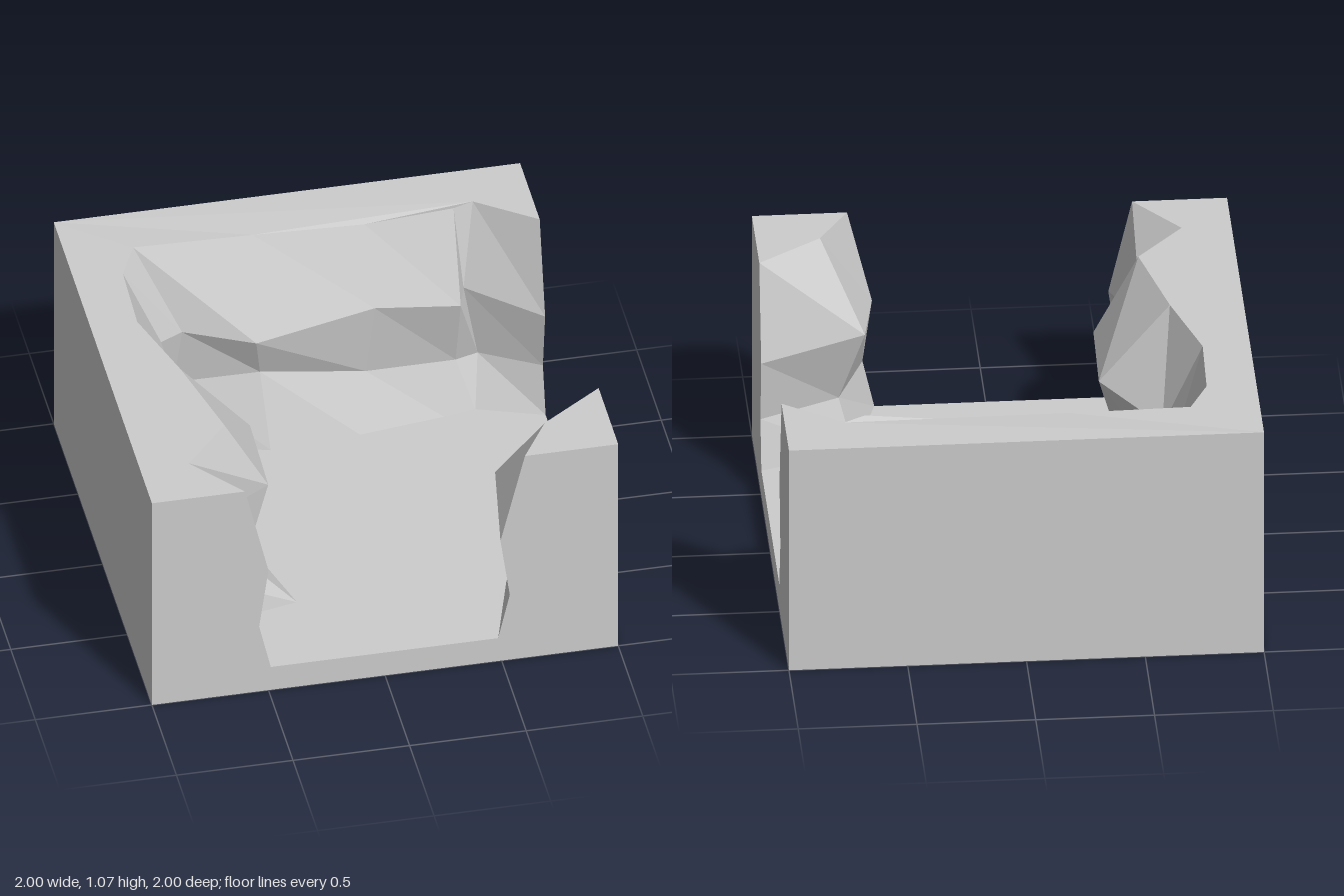
import * as THREE from 'three';

const H = 1.06, FLOOR = 0.12;
const rock = new THREE.MeshStandardMaterial({ color: 0xcccccc, flatShading: true, side: THREE.DoubleSide });
rock.name = 'grey stone';

const V = (x, y, z) => new THREE.Vector3(x, y, z);

function meshFrom(name, triangles) {
  const g = new THREE.BufferGeometry().setFromPoints(triangles);
  g.computeVertexNormals();
  const m = new THREE.Mesh(g, rock);
  m.name = name;
  return m;
}

// Fill an outline, turning every triangle towards the outward direction
function face(name, outline, outward) {
  const flat = outline.map(p =>
    outward.x ? new THREE.Vector2(p.z, p.y) :
    outward.y ? new THREE.Vector2(p.x, p.z) : new THREE.Vector2(p.x, p.y));
  const tris = [];
  for (const [a, b, c] of THREE.ShapeUtils.triangulateShape(flat, [])) {
    const A = outline[a], B = outline[b], C = outline[c];
    const n = B.clone().sub(A).cross(C.clone().sub(A));
    tris.push(...(n.dot(outward) > 0 ? [A, B, C] : [A, C, B]));
  }
  return meshFrom(name, tris);
}

// Rock surface between neighbouring columns of rim, ledge, hollow and foot
function rockWall(name, cols) {
  const tris = [];
  for (let i = 0; i + 1 < cols.length; i++) {
    for (let k = 0; k < 3; k++) {
      const a = cols[i][k], b = cols[i][k + 1], c = cols[i + 1][k + 1], d = cols[i + 1][k];
      tris.push(a, b, c, a, c, d);
    }
  }
  return meshFrom(name, tris);
}

// One column: rim x,z,y; ledge x,z,y; hollow x,z,y; foot x,z
const column = ([t, l, h, f]) => [
  V(t[0], t[2] ?? H, t[1]), V(l[0], l[2], l[1]), V(h[0], h[2], h[1]), V(f[0], FLOOR, f[1])];

// Left wall from the front opening, round the corner, along the back
const wall = [
  [[-0.6, 1], [-0.5, 1, 0.63], [-0.54, 1, 0.34], [-0.49, 1]],
  [[-0.79, 0.76], [-0.61, 0.64, 0.7], [-0.72, 0.62, 0.34], [-0.62, 0.65]],
  [[-0.59, 0.53], [-0.4, 0.52, 0.71], [-0.505, 0.54, 0.34], [-0.29, 0.58]],
  [[-0.69, 0.11], [-0.39, 0.1, 0.71], [-0.5, 0.16, 0.32], [-0.39, 0.22]],
  [[-0.8, -0.25], [-0.63, -0.25, 0.685], [-0.71, -0.23, 0.355], [-0.6, -0.21]],
  [[-0.79, -0.59], [-0.63, -0.57, 0.69], [-0.69, -0.53, 0.425], [-0.58, -0.57]],
  [[-0.71, -0.76], [-0.53, -0.62, 0.69], [-0.56, -0.65, 0.41], [-0.45, -0.54]],
  [[-0.2, -0.755, 1.05], [-0.23, -0.53, 0.65], [-0.2, -0.6, 0.445], [-0.18, -0.48]],
  [[0.28, -0.75, 1.035], [0.29, -0.59, 0.71], [0.26, -0.63, 0.355], [0.21, -0.505]],
  [[0.66, -0.74, 1.068], [0.655, -0.57, 0.68], [0.65, -0.65, 0.34], [0.58, -0.555]],
  [[0.75, -0.78], [0.69, -0.68, 0.69], [0.75, -0.68, 0.34], [0.72, -0.58]],
  [[1, -0.6], [1, -0.49, 0.63], [1, -0.535, 0.34], [1, -0.48]],
].map(column);

// Corner pillar between the two openings
const pillar = [
  [[1, 0.6], [1, 0.5, 0.63], [1, 0.54, 0.34], [1, 0.49]],
  [[0.73, 0.79], [0.555, 0.605, 0.69], [0.66, 0.68, 0.35], [0.6, 0.62]],
  [[0.6, 1], [0.495, 1, 0.63], [0.535, 1, 0.34], [0.485, 1]],
].map(column);

export function createModel() {
  const group = new THREE.Group();
  group.name = 'caveCornerTile';
  const rim = cols => cols.map(c => c[0]);
  const foot = cols => cols.map(c => c[3]);
  const down = c => [...c], up = c => [...c].reverse();
  const wallStart = wall[0], wallEnd = wall[wall.length - 1];
  const pillarStart = pillar[0], pillarEnd = pillar[pillar.length - 1];

  group.add(
    // Inner rock surfaces
    rockWall('rockWall', wall),
    rockWall('rockPillar', pillar),
    face('caveFloor', [...foot(wall), ...foot(pillar)], V(0, 1, 0)),
    // Flat tops
    face('wallTop', [...rim(wall), V(1, H, -1), V(-1, H, -1), V(-1, H, 1)], V(0, 1, 0)),
    face('pillarTop', [...rim(pillar), V(1, H, 1)], V(0, 1, 0)),
    // Outer sides with openings
    face('frontSide', [V(-1, 0, 1), V(1, 0, 1), V(1, H, 1), ...down(pillarEnd),
      ...up(wallStart), V(-1, H, 1)], V(0, 0, 1)),
    face('openSide', [V(1, 0, 1), V(1, 0, -1), V(1, H, -1), ...down(wallEnd),
      ...up(pillarStart), V(1, H, 1)], V(1, 0, 0)),
    // Closed outer sides and base
    face('backSide', [V(-1, 0, -1), V(1, 0, -1), V(1, H, -1), V(-1, H, -1)], V(0, 0, -1)),
    face('closedSide', [V(-1, 0, -1), V(-1, 0, 1), V(-1, H, 1), V(-1, H, -1)], V(-1, 0, 0)),
    face('base', [V(-1, 0, -1), V(1, 0, -1), V(1, 0, 1), V(-1, 0, 1)], V(0, -1, 0)),
  );
  return group;
}
